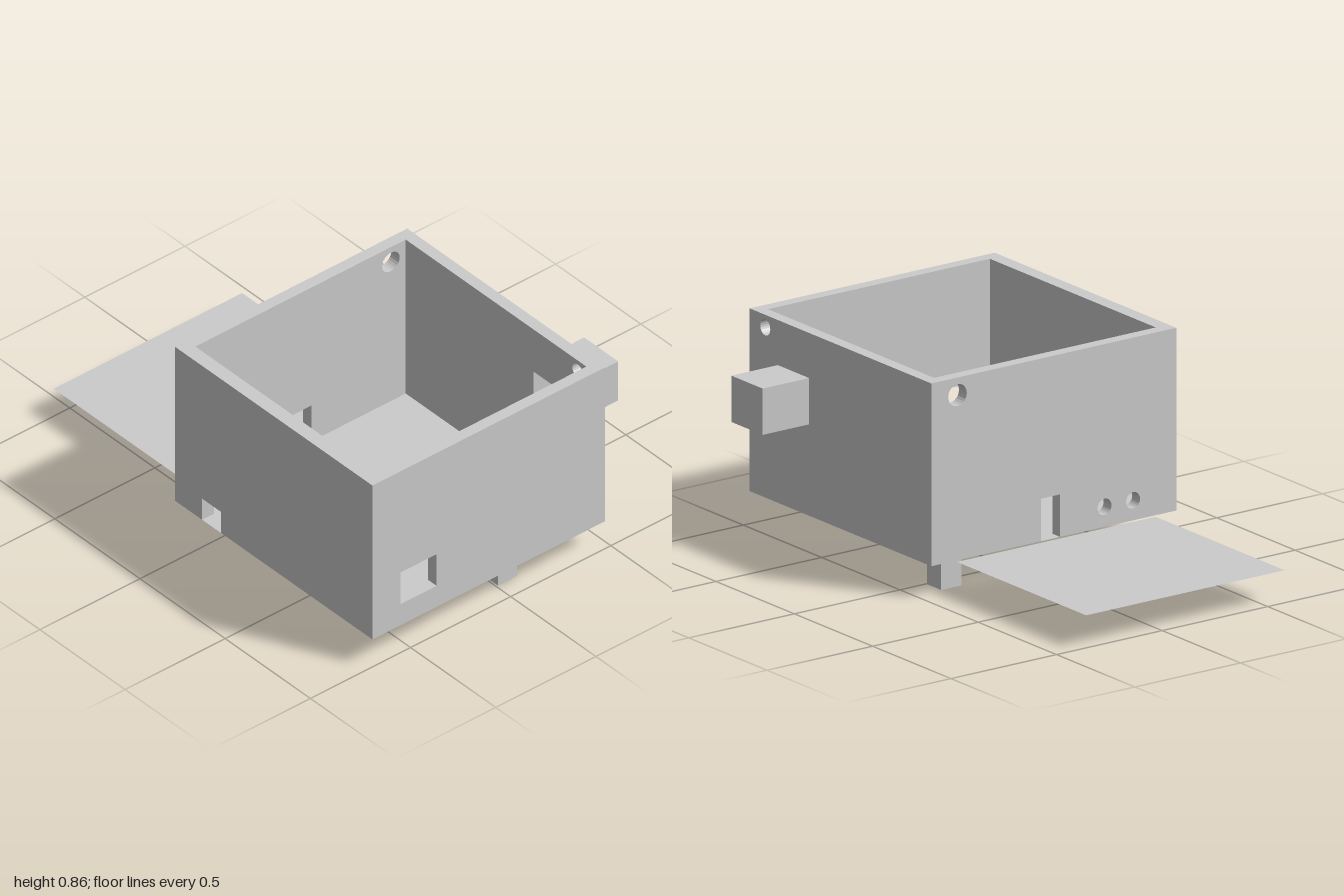
import * as THREE from 'three';

const BASE = 0.13, TOP = 0.86;
const OUT = { x0: -0.16, x1: 1.0, z0: -0.47, z1: 0.69 };
const INN = { x0: -0.11, x1: 0.95, z0: -0.42, z1: 0.63 };

const rectHole = (a0, a1, y0, y1) => new THREE.Path([
  new THREE.Vector2(a0, y0), new THREE.Vector2(a0, y1),
  new THREE.Vector2(a1, y1), new THREE.Vector2(a1, y0),
]);
const roundHole = (a, y, r) => new THREE.Path().absarc(a, y, r, 0, Math.PI * 2, true);

// Rectangular panel with holes and an optional doorway cut up from its lower edge
function panel(a0, a1, y0, y1, depth, { door, holes = [] } = {}) {
  const s = new THREE.Shape().moveTo(a0, y0);
  if (door) {
    const [d0, d1, h] = door;
    s.lineTo(d0, y0).lineTo(d0, h).lineTo(d1, h).lineTo(d1, y0);
  }
  s.lineTo(a1, y0).lineTo(a1, y1).lineTo(a0, y1).closePath();
  s.holes.push(...holes);
  return new THREE.ExtrudeGeometry(s, { depth, bevelEnabled: false, curveSegments: 12 });
}

export function createModel() {
  const group = new THREE.Group();
  const solid = new THREE.MeshStandardMaterial({ color: 0xcccccc });
  const sheet = new THREE.MeshStandardMaterial({ color: 0xcccccc, side: THREE.DoubleSide });

  const add = (name, geometry, material = solid) => {
    const mesh = new THREE.Mesh(geometry, material);
    mesh.name = name;
    group.add(mesh);
  };
  const box = (x0, x1, y0, y1, z0, z1) =>
    new THREE.BoxGeometry(x1 - x0, y1 - y0, z1 - z0)
      .translate((x0 + x1) / 2, (y0 + y1) / 2, (z0 + z1) / 2);
  const flat = (x0, x1, z0, z1) =>
    new THREE.PlaneGeometry(x1 - x0, z1 - z0).rotateX(-Math.PI / 2)
      .translate((x0 + x1) / 2, BASE, (z0 + z1) / 2);

  // Front wall with a small doorway
  add('frontWall', panel(OUT.x0, OUT.x1, BASE, TOP, OUT.z1 - INN.z1, {
    door: [0, 0.11, 0.23],
  }).translate(0, 0, INN.z1));

  // Back wall with the duct opening and a cable hole
  const duct = [0.64, 0.80, 0.515, 0.66];
  add('backWall', panel(OUT.x0, OUT.x1, BASE, TOP, INN.z0 - OUT.z0, {
    holes: [rectHole(...duct), roundHole(0.9, 0.81, 0.032)],
  }).translate(0, 0, OUT.z0));

  // Side walls: drawn along z, then turned so the depth runs towards -x
  const side = (x, depth, cuts) => panel(INN.z0, INN.z1, BASE, TOP, depth, cuts)
    .rotateY(-Math.PI / 2).translate(x, 0, 0);
  add('leftSideWall', side(OUT.x1, OUT.x1 - INN.x1, {
    holes: [rectHole(0.37, 0.55, 0.23, 0.38)],
  }));
  add('rightSideWall', side(INN.x0, INN.x0 - OUT.x0, {
    door: [0.05, 0.14, 0.3],
    holes: [
      roundHole(-0.346, 0.79, 0.044),
      roundHole(0.35, 0.21, 0.033),
      roundHole(0.485, 0.21, 0.033),
    ],
  }));

  // Thin floor and the loose lid lying beside the box
  add('floor', flat(OUT.x0, OUT.x1, OUT.z0, OUT.z1), sheet);
  add('lid', flat(-1, -0.175, -0.36, 0.58), sheet);

  // Hollow duct on the back, closed by a thin cap
  add('duct', panel(0.62, 0.82, 0.495, 0.68, 0.22, {
    holes: [rectHole(...duct)],
  }).translate(0, 0, -0.69));
  add('ductCap', box(duct[0], duct[1], duct[2], duct[3], -0.69, -0.685));

  // Two feet under the floor
  add('backFoot', box(-0.095, -0.005, 0, BASE, -0.375, -0.28));
  add('sideFoot', box(0.82, 0.925, 0.01, BASE, -0.095, 0));

  return group;
}
